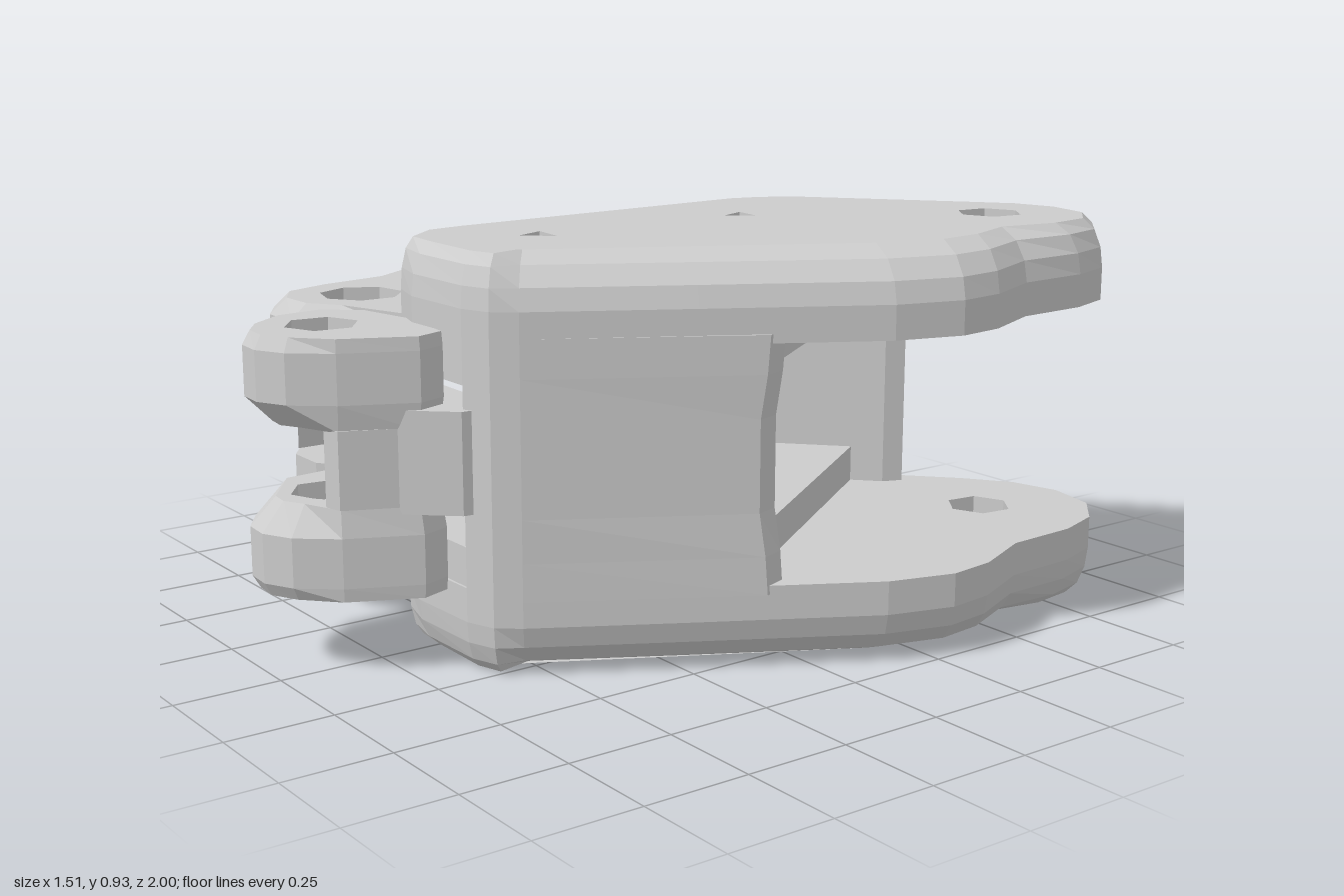
import * as THREE from 'three';

const material = new THREE.MeshStandardMaterial({ color: 0xcccccc, flatShading: true, side: THREE.DoubleSide });
const MID = 0.46; // height of the mirror plane between upper and lower halves

// Edge profiles from bottom to top: [relative height, share of the inset]
const ROUND_TOP = [[0, 0], [0.4, 0], [0.65, 0.12], [0.87, 0.45], [1, 1]];
const SOFT_TOP = [[0, 0.3], [0.25, 0], [0.65, 0], [1, 1]];
const CHAMFER_LOW = [[0, 1], [0.3, 0], [0.85, 0], [1, 0.3]];
const WAIST = [[0, 0], [0.15, 0.3], [0.32, 1], [0.68, 1], [0.85, 0.3], [1, 0]];
const STRAIGHT = [[0, 0], [1, 0]];
const flip = (profile) => profile.map(([t, k]) => [1 - t, k]).reverse();

// Horizontal slab: outline [x, z], holes [x, z, radius, sides]; the outer rim
// is drawn in toward the spine by inset(x, z), following the edge profile.
function slab(name, outline, holes, y0, y1, profile = STRAIGHT, inset = () => 0, spine = [[0, 0], [0, 0]]) {
  const shape = new THREE.Shape(outline.map(([x, z]) => new THREE.Vector2(x, -z)));
  for (const [x, z, r, n] of holes) {
    const ring = [];
    for (let i = 0; i < n; i++) {
      const a = (i / n) * Math.PI * 2 + 0.4;
      ring.push(new THREE.Vector2(x + r * Math.cos(a), -z + r * Math.sin(a)));
    }
    shape.holes.push(new THREE.Path(ring));
  }
  const steps = profile.length - 1;
  const geo = new THREE.ExtrudeGeometry(shape, { depth: 1, steps, bevelEnabled: false });
  geo.rotateX(-Math.PI / 2);
  const line = new THREE.Line3(new THREE.Vector3(spine[0][0], 0, spine[0][1]), new THREE.Vector3(spine[1][0], 0, spine[1][1]));
  const pos = geo.attributes.position, p = new THREE.Vector3(), c = new THREE.Vector3();
  for (let i = 0; i < pos.count; i++) {
    p.fromBufferAttribute(pos, i);
    const [t, k] = profile[Math.round(p.y * steps)];
    p.y = 0;
    const inHole = holes.some(([x, z, r]) => Math.hypot(p.x - x, p.z - z) < r + 0.004);
    const amount = inHole ? 0 : k * inset(p.x, p.z);
    if (amount > 0) {
      line.closestPointToPoint(p, true, c);
      p.add(c.sub(p).normalize().multiplyScalar(amount));
    }
    pos.setXYZ(i, p.x, y0 + (y1 - y0) * t, p.z);
  }
  geo.computeVertexNormals();
  const mesh = new THREE.Mesh(geo, material);
  mesh.name = name;
  return mesh;
}

// Upper slab and its mirrored lower twin
function pair(name, outline, holes, y0, y1, profile, inset, spine) {
  const group = new THREE.Group();
  group.name = name + 's';
  group.add(
    slab('upper ' + name, outline, holes, y0, y1, profile, inset, spine),
    slab('lower ' + name, outline, holes, 2 * MID - y1, 2 * MID - y0, flip(profile), inset, spine),
  );
  return group;
}

export function createModel() {
  const model = new THREE.Group();
  const pinHoles = [[0.05, -0.23, 0.045, 3], [0.05, 0.35, 0.05, 3]];
  const postHole = [-0.4, 0.56, 0.1, 7], lugHole = [-0.1, 0.82, 0.085, 6];

  // Outer cover plates, rounded most along their right edge
  const cover = [[-0.24, -0.42], [-0.22, -0.5], [-0.17, -0.58], [0.17, -0.89], [0.28, -0.97], [0.4, -1],
    [0.53, -0.97], [0.62, -0.88], [0.66, -0.76], [0.67, -0.57], [0.74, -0.41], [0.755, -0.29], [0.71, -0.13],
    [0.5, 0.24], [0.31, 0.57], [0.27, 0.62], [0.2, 0.645], [0, 0.65], [-0.1, 0.62], [-0.18, 0.53], [-0.2, 0.43]];
  const coverInset = (x, z) => {
    if (x < -0.1) return 0.03;
    return x > 0.28 ? THREE.MathUtils.mapLinear(THREE.MathUtils.clamp(z, -0.85, -0.4), -0.85, -0.4, 0.05, 0.12) : 0.05;
  };
  model.add(pair('cover plate', cover, [[0.38, -0.74, 0.08, 6], ...pinHoles], 0.73, 0.925, ROUND_TOP,
    coverInset, [[0.02, 0.35], [0.36, -0.6]]));

  // Inner wing plates reaching out to the right
  const wing = [[-0.03, -0.7], [-0.17, -0.585], [-0.55, -0.22], [-0.62, -0.04], [-0.73, 0.09], [-0.755, 0.18],
    [-0.71, 0.29], [-0.64, 0.4], [-0.61, 0.58], [-0.56, 0.71], [-0.47, 0.765], [-0.36, 0.765], [-0.27, 0.71],
    [-0.1, 0.61], [0.2, 0.61], [0.27, 0.56], [0.5, 0.09]];
  model.add(pair('wing plate', wing, [[-0.56, 0.18, 0.09, 7], postHole, ...pinHoles], 0.64, 0.75, SOFT_TOP,
    (x, z) => (x < -0.24 && z > -0.3 ? 0.04 : 0), [[-0.4, 0.1], [-0.35, 0.5]]));

  // Lips framing the front opening
  model.add(pair('front lip',
    [[-0.17, 0.5], [-0.15, 0.57], [-0.09, 0.62], [0, 0.64], [0.2, 0.64], [0.27, 0.61], [0.28, 0.5]],
    [], 0.64, 0.78, STRAIGHT));

  // Upright walls joining the two halves, flared where they meet the plates
  model.add(slab('side wall',
    [[0.2, 0.645], [0.27, 0.62], [0.31, 0.57], [0.582, 0.11], [0.56, 0.05], [0.5, 0.04], [0.24, 0.47], [0.21, 0.54]],
    [], 0.17, 0.75, WAIST, (x, z) => (z < 0.2 ? 0.02 : 0), [[0.28, 0.52], [0.45, 0.25]]));
  model.add(slab('rear column',
    [[-0.3, -0.455], [-0.17, -0.58], [0.05, -0.78], [0.09, -0.75], [0.07, -0.7], [-0.17, -0.48], [-0.24, -0.42]],
    [], 0.19, 0.73, WAIST, (x) => (x < -0.2 ? 0.05 : 0), [[-0.14, -0.56], [-0.02, -0.67]]));

  // Pivot post between the wings, slotted open toward the front
  const post = [];
  for (let i = 0; i < 10; i++) {
    const a = (i / 10) * Math.PI * 2;
    post.push([-0.4 + 0.17 * Math.cos(a), 0.56 + 0.17 * Math.sin(a)]);
  }
  model.add(pair('post ring', post, [postHole], 0.55, 0.65, STRAIGHT));
  model.add(slab('post core',
    [[-0.57, 0.56], [-0.54, 0.66], [-0.5, 0.69], [-0.5, 0.57], [-0.46, 0.48], [-0.4, 0.46], [-0.33, 0.48],
      [-0.25, 0.53], [-0.27, 0.46], [-0.35, 0.4], [-0.45, 0.4], [-0.54, 0.46]], [], 0.37, 0.55));

  // Web joining the post to the lug behind the slot
  model.add(slab('slot web',
    [[-0.32, 0.47], [-0.22, 0.62], [-0.05, 0.7], [-0.05, 0.6], [-0.17, 0.56], [-0.26, 0.45]], [], 0.365, 0.555));

  // Front hinge lug, deeply slotted with a rib on its left side
  const lug = [[-0.265, 0.74], [-0.255, 0.85], [-0.2, 0.95], [-0.13, 0.995], [-0.06, 1], [0.01, 0.965],
    [0.08, 0.88], [0.155, 0.72], [0.13, 0.65], [-0.05, 0.63], [-0.2, 0.66]];
  model.add(pair('hinge lug', lug, [lugHole], 0.545, 0.75, CHAMFER_LOW,
    (x, z) => (z > 0.9 ? 0.06 : 0.01), [[-0.1, 0.8], [-0.1, 0.78]]));
  model.add(slab('hinge rib',
    [[0.03, 0.89], [0.075, 0.88], [0.145, 0.72], [0.12, 0.65], [-0.05, 0.63], [-0.2, 0.66], [-0.2, 0.69],
      [0, 0.72], [0.05, 0.79]], [], 0.375, 0.55));

  // Neck carrying the lug into the body
  model.add(slab('hinge neck',
    [[0.07, 0.8], [0.12, 0.77], [0.22, 0.66], [0.23, 0.56], [-0.15, 0.55], [-0.12, 0.68], [0.02, 0.7]], [], 0.36, 0.59));
  return model;
}
